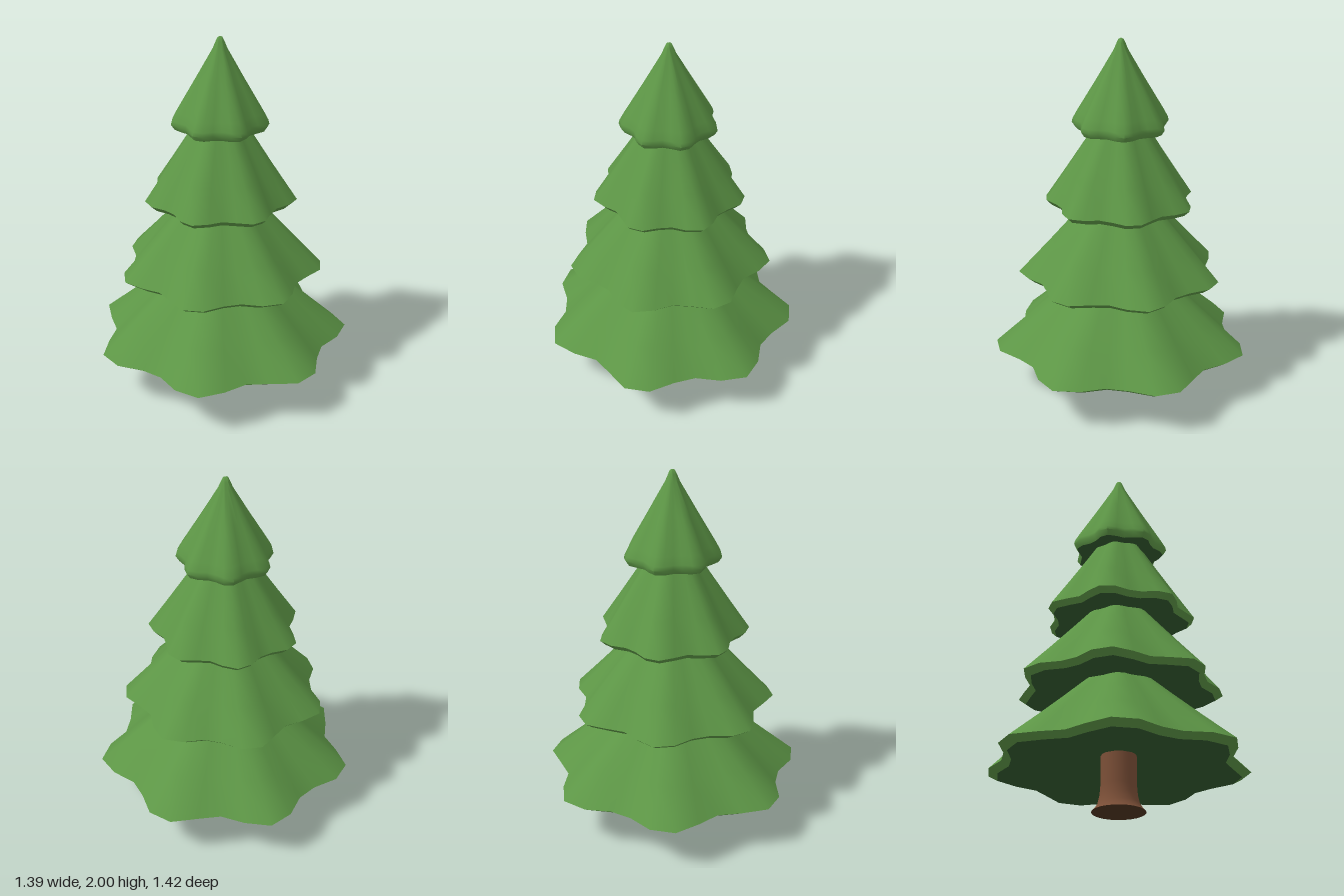
import * as THREE from 'three';
import { toCreasedNormals } from 'three/addons/utils/BufferGeometryUtils.js';

const LOBES = 7;
const SEGMENTS = 32;
const CREASE = 1.0;

// Lathe a [radius, height] profile
function lathe(profile, segments) {
  return new THREE.LatheGeometry(profile.map(([r, y]) => new THREE.Vector2(r, y)), segments);
}

// Push the radius in and out to form scalloped foliage, softer toward the top
function scallop(geometry, rimRadius, phase) {
  const p = geometry.attributes.position;
  for (let i = 0; i < p.count; i++) {
    const x = p.getX(i);
    const z = p.getZ(i);
    const depth = 0.09 * (0.4 + 0.6 * Math.hypot(x, z) / rimRadius);
    const k = 1 + depth * Math.cos(LOBES * Math.atan2(z, x) - phase);
    p.setX(i, x * k);
    p.setZ(i, z * k);
  }
  return toCreasedNormals(geometry, CREASE);
}

// Bevelled rim and a straight cone up to a hidden apex
function skirtProfile(radius, base, apex) {
  const rim = base + 0.029;
  const cone = [1, 0.75, 0.5, 0.25, 0].map((t) => [radius * t, apex + (rim - apex) * t]);
  return [[radius * 0.93, base], ...cone];
}

function material(name, color) {
  const m = new THREE.MeshStandardMaterial({ color });
  m.name = name;
  return m;
}

export function createModel() {
  const foliage = material('foliage green', 0x5d9646);
  const shade = material('dark underside green', 0x335a30);
  const bark = material('bark brown', 0x7b4f37);
  const cutWood = material('dark trunk end brown', 0x4f3521);

  const tree = new THREE.Group();
  tree.name = 'pineTree';
  tree.position.x = -0.033;

  const add = (name, geometry, mat) => {
    const mesh = new THREE.Mesh(geometry, mat);
    mesh.name = name;
    tree.add(mesh);
  };

  // Trunk with a flared foot and a dark end face
  const trunk = [[0.143, 0], [0.127, 0.016], [0.11, 0.045], [0.1, 0.09], [0.096, 0.14], [0.095, 0.34]];
  add('trunk', lathe(trunk, 24), bark);
  add('trunkEnd', lathe([[0, 0], [0.143, 0]], 24), cutWood);

  // Foliage tiers, each rotated a little further than the one below
  const tiers = [
    ['bottomTier', 0.663, skirtProfile(0.663, 0.221, 0.89)],
    ['lowerMiddleTier', 0.526, skirtProfile(0.526, 0.649, 1.31)],
    ['upperMiddleTier', 0.387, skirtProfile(0.387, 1.074, 1.745)],
    ['topTier', 0.247, [
      [0.23, 1.504], [0.247, 1.533], [0.242, 1.555], [0.22, 1.6],
      [0.125, 1.775], [0.038, 1.935], [0.022, 1.975], [0.013, 1.994], [0, 2],
    ]],
  ];
  tiers.forEach(([name, radius, profile], i) => {
    const [edge, base] = profile[0];
    const recess = 0.145 * radius;
    const underside = [[0, base + recess], [edge / 2, base + recess / 2], [edge, base]];
    add(name, scallop(lathe(profile, SEGMENTS), radius, i * 0.7), foliage);
    add(name + 'Underside', scallop(lathe(underside, SEGMENTS), radius, i * 0.7), shade);
  });

  const model = new THREE.Group();
  model.name = 'model';
  model.add(tree);
  return model;
}
